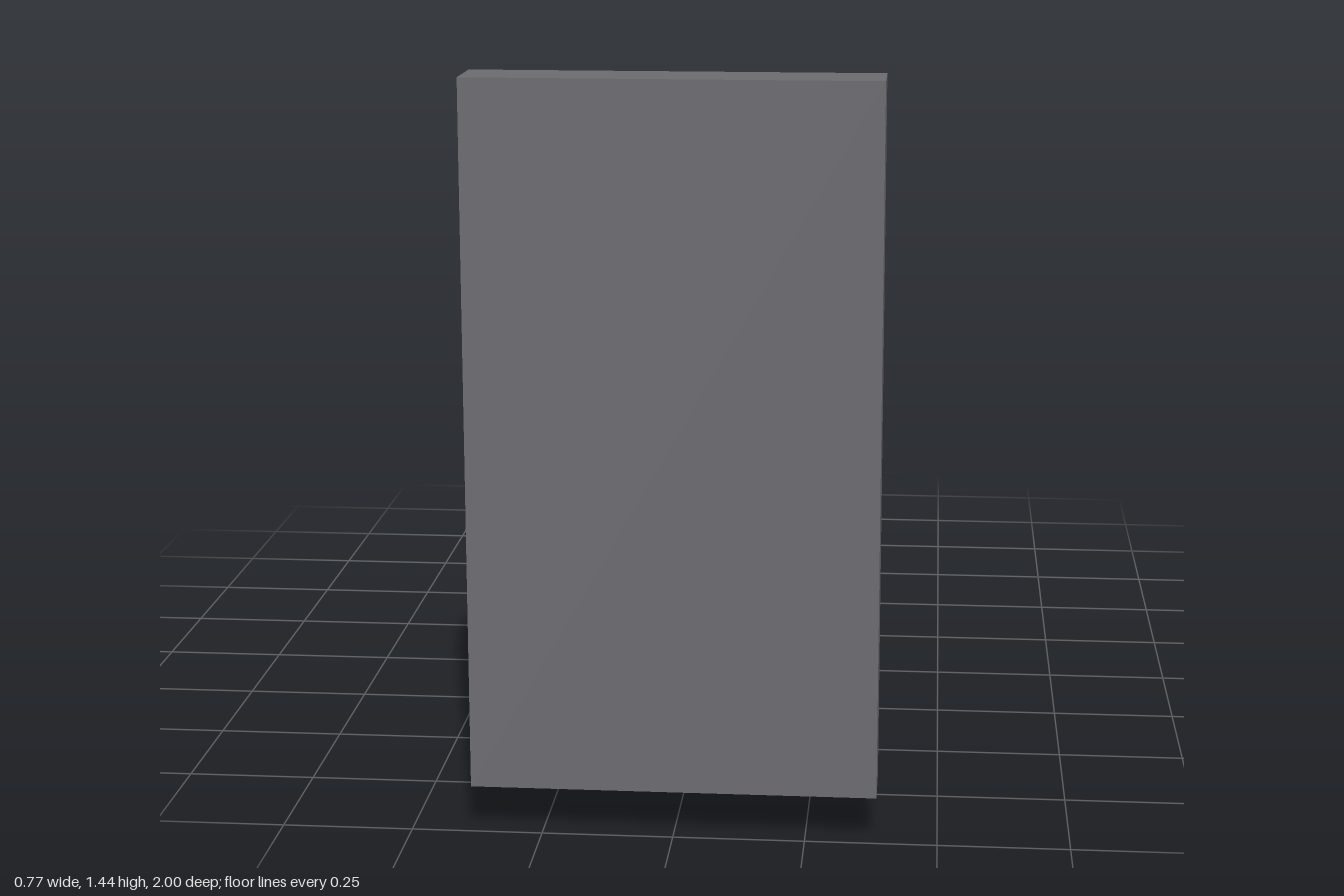
import * as THREE from 'three';

export function createModel() {
  const model = new THREE.Group();
  model.name = 'wallBracket';

  const steel = new THREE.MeshStandardMaterial({ color: 0x6b6a6f, flatShading: true });
  steel.name = 'dark steel';
  const bronze = new THREE.MeshStandardMaterial({ color: 0xcfa073, flatShading: true });
  bronze.name = 'bronze';

  const add = (name, geometry, material, x, y, z) => {
    const mesh = new THREE.Mesh(geometry, material);
    mesh.name = name;
    mesh.position.set(x, y, z);
    model.add(mesh);
    return mesh;
  };

  // Mounting plate and the beam that stands out behind it
  add('mountingPlate', new THREE.BoxGeometry(0.77, 1.35, 0.128), steel, 0, 0.765, 0.936);
  add('beam', new THREE.BoxGeometry(0.195, 0.385, 1.874), steel, -0.002, 0.763, -0.063);

  // Triangular gusset under the beam, drawn as (-z, y) and extruded along x
  const triangle = new THREE.Shape([
    new THREE.Vector2(-0.874, 0.12),
    new THREE.Vector2(-0.035, 0.571),
    new THREE.Vector2(-0.874, 0.571),
  ]);
  const gusset = new THREE.ExtrudeGeometry(triangle, { depth: 0.09, bevelEnabled: false });
  gusset.translate(0, 0, -0.045).rotateY(Math.PI / 2);
  add('gusset', gusset, steel, -0.002, 0, 0);

  // Four hexagonal bolt heads on the back of the plate
  for (const x of [-0.26, 0.26]) {
    for (const y of [0.215, 1.315]) {
      const head = new THREE.CylinderGeometry(0.038, 0.038, 0.03, 6).rotateX(Math.PI / 2);
      add('plateBolt', head, bronze, x, y, 0.859);
    }
  }

  // Cheek plates hanging from the beam, flush with its sides
  for (const side of [-1, 1]) {
    add('cheekPlate', new THREE.BoxGeometry(0.03, 0.32, 0.32), steel, -0.002 + side * 0.0825, 0.411, -0.61);
  }

  // Hexagonal pin through the cheeks, with the roller on it
  const pin = new THREE.CylinderGeometry(0.03, 0.03, 0.256, 6).rotateZ(Math.PI / 2);
  add('pin', pin, steel, -0.002, 0.378, -0.61);
  const roller = new THREE.CylinderGeometry(0.14, 0.14, 0.13, 8).rotateZ(Math.PI / 2);
  add('roller', roller, bronze, -0.002, 0.377, -0.61);

  // Lever hanging from the roller, ending in a faceted knob
  add('leverRod', new THREE.CylinderGeometry(0.044, 0.044, 0.29, 6), bronze, 0, 0.232, -0.74);
  const knob = new THREE.SphereGeometry(0.083, 6, 4).rotateY(Math.PI / 2);
  add('leverKnob', knob, bronze, 0, 0.083, -0.74);

  return model;
}
